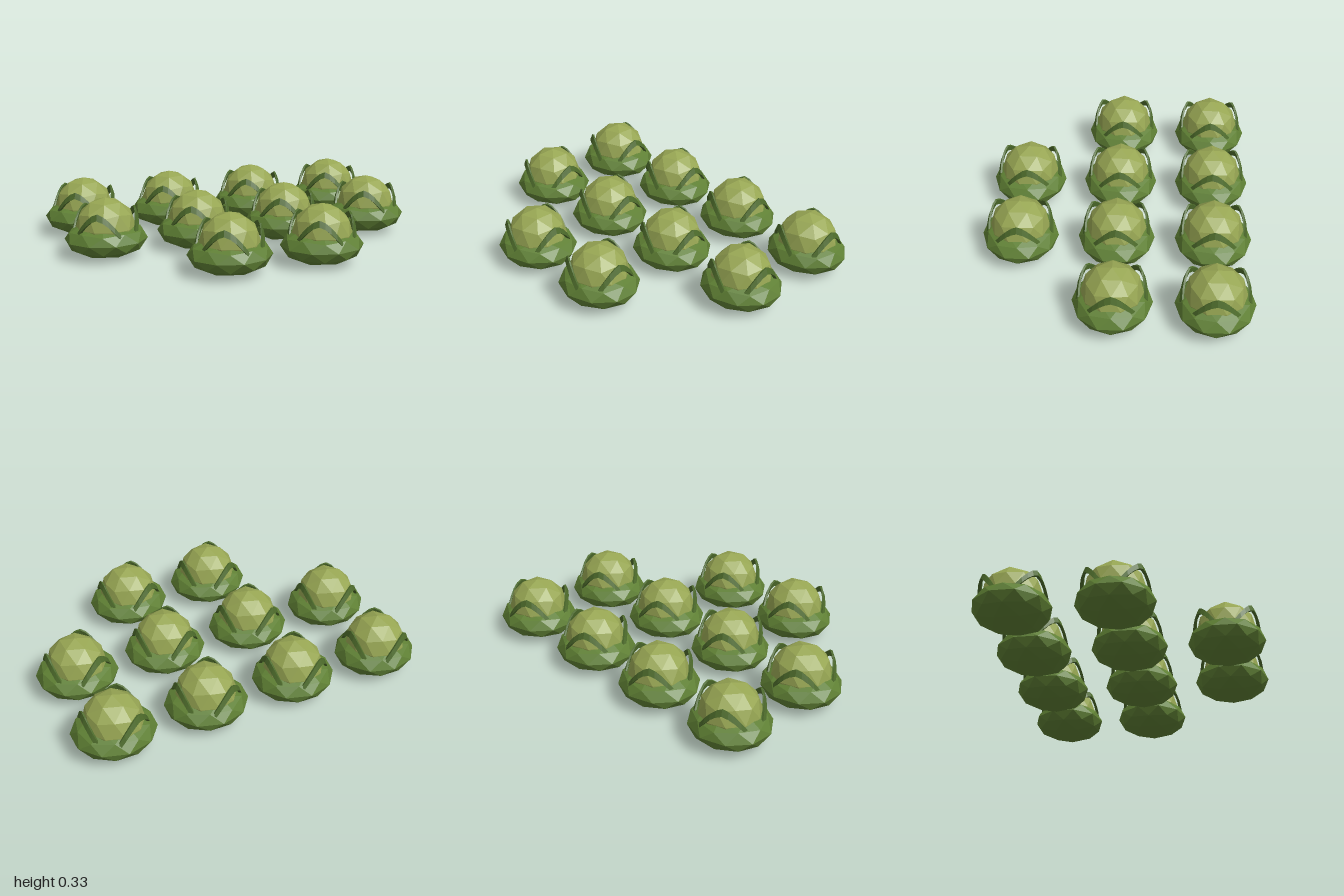
import * as THREE from 'three';

const mat = (name, color) => {
  const m = new THREE.MeshStandardMaterial({ color, flatShading: true });
  m.name = name;
  return m;
};

// Faceted ball with a vertex at its top
function facetedBall(rx, ry, rz, y) {
  const g = new THREE.IcosahedronGeometry(1, 1);
  g.rotateZ(Math.atan(2 / (1 + Math.sqrt(5))));
  g.scale(rx, ry, rz);
  g.translate(0, y, 0);
  return g;
}

// Arched leaf rim: a four-cornered section swept around the head, rising in the middle
function leafRim() {
  const steps = 8, pos = [], index = [];
  for (let i = 0; i <= steps; i++) {
    const t = (i / steps) * 2 - 1;
    const a = t * 0.74;
    const top = 0.274 - 0.115 * Math.pow(Math.abs(t), 1.6);
    const r = 0.164 + 0.014 * t * t;
    const section = [
      [r + 0.012, top - 0.034],
      [r, top],
      [r - 0.01, top - 0.003],
      [r - 0.004, top - 0.036],
    ];
    for (const [sr, y] of section) pos.push(sr * Math.cos(a), y, sr * Math.sin(a));
  }
  for (let i = 0; i < steps; i++) {
    for (let j = 0; j < 4; j++) {
      const a = i * 4 + j, b = i * 4 + (j + 1) % 4;
      index.push(a, b, b + 4, a, b + 4, a + 4);
    }
  }
  const e = steps * 4;
  index.push(0, 2, 1, 0, 3, 2, e, e + 1, e + 2, e, e + 2, e + 3);
  const g = new THREE.BufferGeometry();
  g.setAttribute('position', new THREE.Float32BufferAttribute(pos, 3));
  g.setIndex(index);
  g.computeVertexNormals();
  return g;
}

export function createModel() {
  const heartGreen = mat('heart green', 0x97a653);
  const leafGreen = mat('leaf green', 0x5f8034);
  const rimGreen = mat('dark leaf green', 0x4d6b2b);

  const heartGeo = facetedBall(0.163, 0.16, 0.163, 0.169);
  const baseGeo = facetedBall(0.227, 0.103, 0.21, 0.103);
  const rimGeo = leafRim();

  const add = (parent, name, geo, material) => {
    const m = new THREE.Mesh(geo, material);
    m.name = name;
    parent.add(m);
    return m;
  };

  // One cabbage: pale heart, flattened outer leaves and three arched rims
  function cabbage(x, z) {
    const g = new THREE.Group();
    g.name = 'cabbage';
    add(g, 'heart', heartGeo, heartGreen);
    add(g, 'outerLeaves', baseGeo, leafGreen);
    for (let i = 0; i < 3; i++) {
      add(g, 'leafRim', rimGeo, rimGreen).rotation.y = (i * Math.PI * 2) / 3;
    }
    g.position.set(x, 0, z);
    return g;
  }

  // Two rows of four and a front row of two
  const model = new THREE.Group();
  model.name = 'cabbagePatch';
  const columns = [-0.784, -0.261, 0.261, 0.784];
  for (const z of [-0.53, 0, 0.53]) {
    for (const x of columns) {
      if (z > 0.5 && Math.abs(x) > 0.5) continue;
      model.add(cabbage(x, z));
    }
  }
  return model;
}
